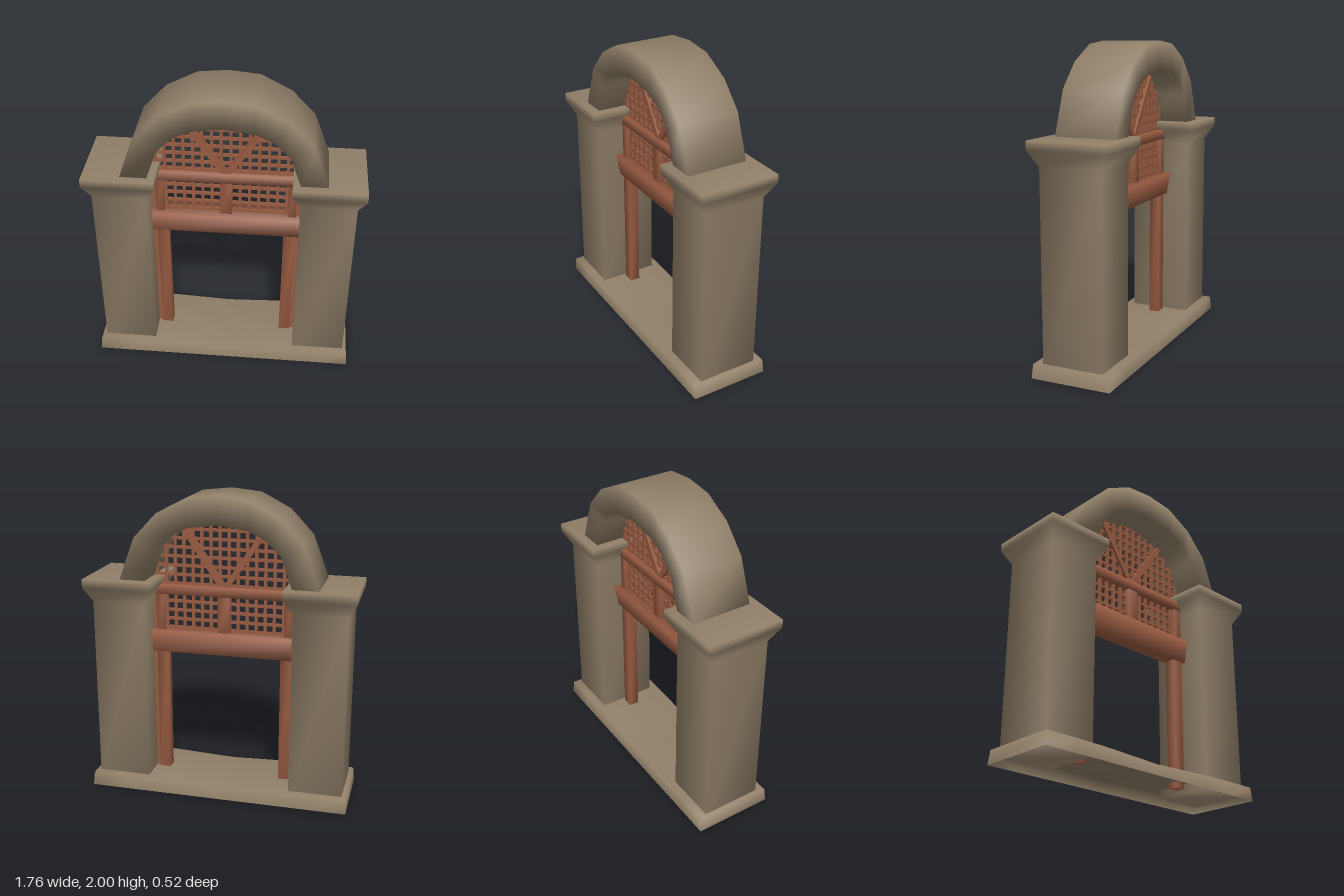
import * as THREE from 'three';
import { mergeVertices, mergeGeometries } from 'three/addons/utils/BufferGeometryUtils.js';

const stone = new THREE.MeshStandardMaterial({ color: 0x918069, side: THREE.DoubleSide });
stone.name = 'stone';
const wood = new THREE.MeshStandardMaterial({ color: 0x965a41 });
wood.name = 'wood';

// Skin over four-cornered rings with shared vertices, so the edges shade softly
function loft(rings, capped = true) {
  const index = [];
  for (let i = 0; i < rings.length - 1; i++) {
    for (let k = 0; k < 4; k++) {
      const a = i * 4 + k, b = i * 4 + (k + 1) % 4;
      index.push(a, b, b + 4, a, b + 4, a + 4);
    }
  }
  if (capped) {
    const t = (rings.length - 1) * 4;
    index.push(t, t + 1, t + 2, t, t + 2, t + 3, 2, 1, 0, 3, 2, 0);
  }
  const g = new THREE.BufferGeometry();
  g.setAttribute('position', new THREE.Float32BufferAttribute(rings.flat(2), 3));
  g.setIndex(index);
  g.computeVertexNormals();
  return g;
}

// Horizontal rectangular ring
const ring = (y, x0, x1, hz) => [[x1, y, hz], [x1, y, -hz], [x0, y, -hz], [x0, y, hz]];

const bar = (x0, x1, y0, y1, hz) =>
  new THREE.BoxGeometry(x1 - x0, y1 - y0, hz * 2).translate((x0 + x1) / 2, (y0 + y1) / 2, 0);

// Open-bottomed plinth, tapered, with a worn dip in the middle of the top
function plinthGeometry() {
  let g = new THREE.BoxGeometry(1.73, 0.09, 0.524, 8, 1, 1).translate(0, 0.045, 0);
  const bottom = g.groups[3];
  g.setIndex([...g.index.array].filter((_, i) => i < bottom.start || i >= bottom.start + bottom.count));
  g.clearGroups();
  const p = g.attributes.position;
  for (let i = 0; i < p.count; i++) {
    const x = p.getX(i), wear = Math.max(0, 1 - Math.abs(x) / 0.5);
    if (p.getY(i) > 0.05) {
      p.setXYZ(i, x * 0.99, 0.09 - 0.018 * wear, p.getZ(i) * (0.97 - 0.02 * wear));
    }
  }
  g.deleteAttribute('normal');
  g.deleteAttribute('uv');
  g = mergeVertices(g);
  g.computeVertexNormals();
  return g;
}

export function createModel() {
  const model = new THREE.Group();
  model.name = 'archedGateway';
  const add = (name, geometry, material) => {
    const mesh = new THREE.Mesh(geometry, material);
    mesh.name = name;
    model.add(mesh);
    return mesh;
  };

  add('plinth', plinthGeometry(), stone);

  for (const s of [1, -1]) {
    const side = s > 0 ? 'left' : 'right';
    const span = (y, a, b, hz) => (s > 0 ? ring(y, a, b, hz) : ring(y, -b, -a, hz));
    // Pillar with its flared capital
    add(side + 'Pillar', loft([
      span(0.03, 0.48, 0.83, 0.2), span(1.29, 0.48, 0.83, 0.2),
      span(1.39, 0.425, 0.88, 0.258), span(1.445, 0.425, 0.88, 0.258),
    ]), stone);
    // Door jamb below the lintel, window jamb above it
    add(side + 'DoorJamb', loft([span(0.05, 0.38, 0.455, 0.035), span(0.95, 0.38, 0.455, 0.035)]), wood);
    add(side + 'JambBacking', bar(s > 0 ? 0.45 : -0.485, s > 0 ? 0.485 : -0.45, 0.07, 1.36, 0.02), wood);
    add(side + 'WindowJamb', loft([span(1.07, 0.4, 0.455, 0.035), span(1.35, 0.4, 0.455, 0.035)]), wood);
    // Slanted rib of the fanlight
    const rib = add(side + 'FanRib', new THREE.BoxGeometry(0.036, 0.5, 0.05).translate(0, 0.25, 0), wood);
    rib.position.set(0, 1.37, 0);
    rib.rotation.z = -s * 0.595;
  }

  // Arch: outer x, outer y, inner x, inner y from springing to crown
  const half = [
    [0.645, 1.44, 0.475, 1.44], [0.54, 1.72, 0.405, 1.64], [0.388, 1.88, 0.3, 1.745],
    [0.195, 1.98, 0.185, 1.795], [0, 2, 0, 1.82],
  ];
  const stations = [...half, ...half.slice(0, 4).reverse().map(([a, b, c, d]) => [-a, b, -c, d])];
  add('arch', loft(stations.map(([ox, oy, ix, iy]) =>
    [[ox, oy, 0.2], [ox, oy, -0.2], [ix, iy, -0.2], [ix, iy, 0.2]])), stone);

  // Main timbers
  add('lintel', loft([ring(0.935, -0.48, 0.48, 0.05), ring(1.085, -0.48, 0.48, 0.08)]), wood);
  add('transom', loft([ring(1.325, -0.46, 0.46, 0.04), ring(1.39, -0.46, 0.46, 0.04)]), wood);
  add('mullion', loft([ring(1.07, -0.04, 0.04, 0.035), ring(1.34, -0.04, 0.04, 0.035)]), wood);

  // Lattice: bars run up into the arch, clipped along its middle line
  const pitch = 0.06, r = 0.0095, bars = [];
  const reach = (t) => Math.sqrt(Math.max(0, 1 - t * t));
  for (let i = -7; i <= 8; i++) {
    const x = (i - 0.5) * pitch;
    bars.push(bar(x - r, x + r, 1.08, 1.43 + 0.45 * reach(x / 0.55), r));
  }
  for (let y = 1.095; y < 1.83; y += pitch) {
    const w = y < 1.39 ? 0.45 : 0.55 * reach((y - 1.43) / 0.45);
    bars.push(bar(-w, w, y - r, y + r, r * 0.9));
  }
  add('lattice', mergeGeometries(bars), wood);

  return model;
}
